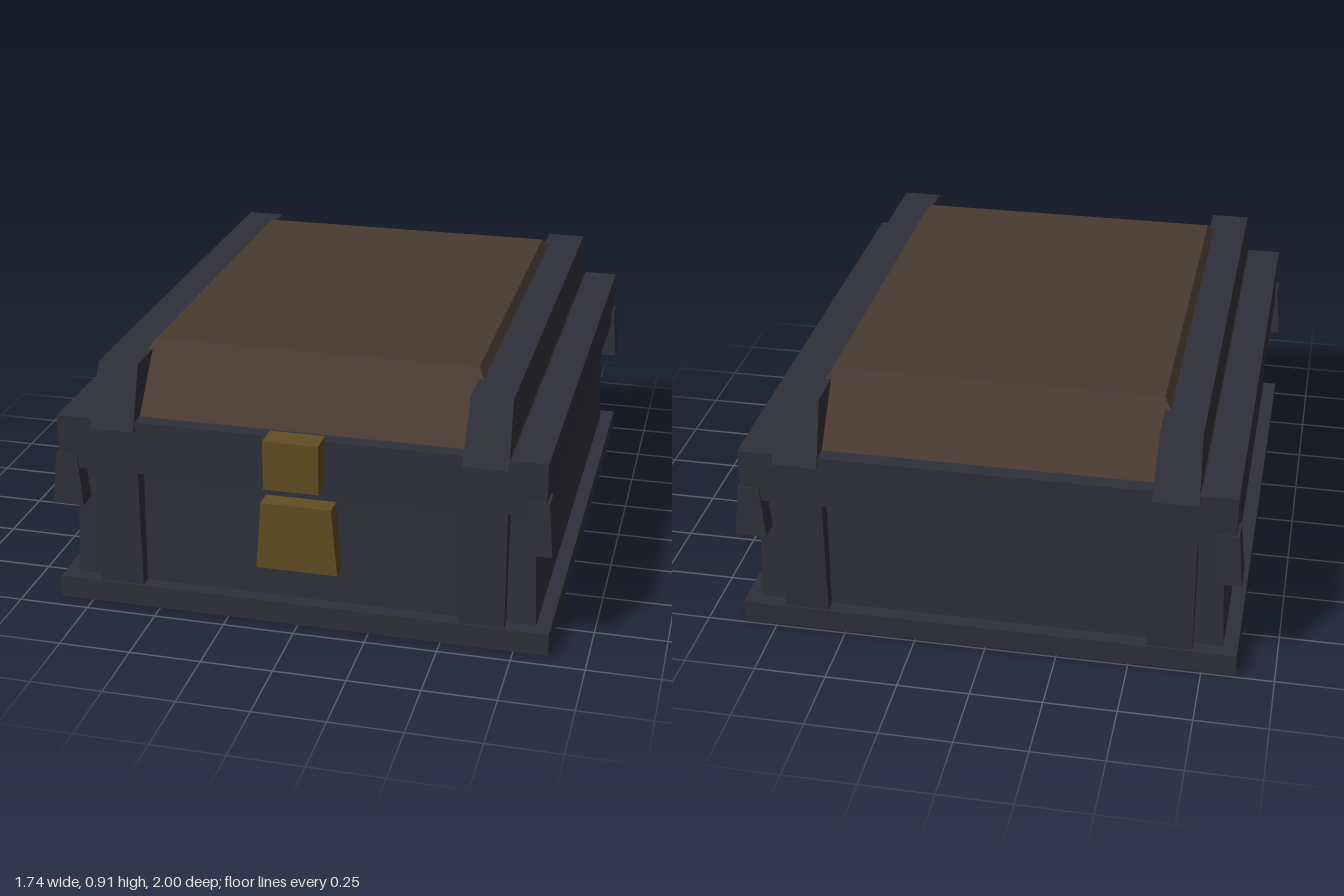
import * as THREE from 'three';

const iron = new THREE.MeshStandardMaterial({ color: 0x30303a });
iron.name = 'dark iron';
const leather = new THREE.MeshStandardMaterial({ color: 0x493a31 });
leather.name = 'brown lid';
const brass = new THREE.MeshStandardMaterial({ color: 0x614e24 });
brass.name = 'old brass';

const MID = -0.025; // depth centre of the chest, the clasp sticks out in front

// Box between y0 and y1 with separate bottom and top sizes [width, depth]
function taperedBox(name, material, y0, y1, bottom, top, x = 0, z = MID) {
  const geometry = new THREE.BoxGeometry(1, 1, 1);
  const p = geometry.attributes.position;
  for (let i = 0; i < p.count; i++) {
    const upper = p.getY(i) > 0;
    const size = upper ? top : bottom;
    p.setXYZ(i, p.getX(i) * size[0], upper ? y1 : y0, p.getZ(i) * size[1]);
  }
  geometry.computeVertexNormals();
  const mesh = new THREE.Mesh(geometry, material);
  mesh.name = name;
  mesh.position.set(x, 0, z);
  return mesh;
}

export function createModel() {
  const chest = new THREE.Group();
  chest.name = 'chest';

  // Base, slightly tapering body, overhanging rim and bevelled lid
  chest.add(
    taperedBox('base', iron, 0, 0.08, [1.735, 1.93], [1.735, 1.93]),
    taperedBox('body', iron, 0.08, 0.51, [1.635, 1.83], [1.595, 1.80]),
    taperedBox('rim', iron, 0.51, 0.70, [1.685, 1.92], [1.685, 1.92]),
    taperedBox('lid', leather, 0.70, 0.91, [1.44, 1.81], [1.13, 1.41]),
  );

  for (const sx of [-1, 1]) {
    // Lid rails running front to back, with sloping ends
    chest.add(taperedBox('lidRail', iron, 0.67, 0.88, [0.155, 1.955], [0.14, 1.76], sx * 0.64));

    for (const sz of [-1, 1]) {
      // Uprights on the front and back
      chest.add(taperedBox('upright', iron, 0.08, 0.51, [0.155, 0.1], [0.155, 0.1],
        sx * 0.638, MID + sz * 0.907));
      // Flared corner brackets
      chest.add(taperedBox('cornerBracket', iron, 0.375, 0.56, [0.11, 0.11], [0.075, 0.085],
        sx * 0.814, MID + sz * 0.922));
    }
  }

  // Clasp and lock plate
  chest.add(
    taperedBox('clasp', brass, 0.535, 0.71, [0.19, 0.09], [0.19, 0.09], 0, 0.955),
    taperedBox('lockPlate', brass, 0.21, 0.455, [0.285, 0.09], [0.245, 0.09], 0, 0.9),
  );

  return chest;
}
